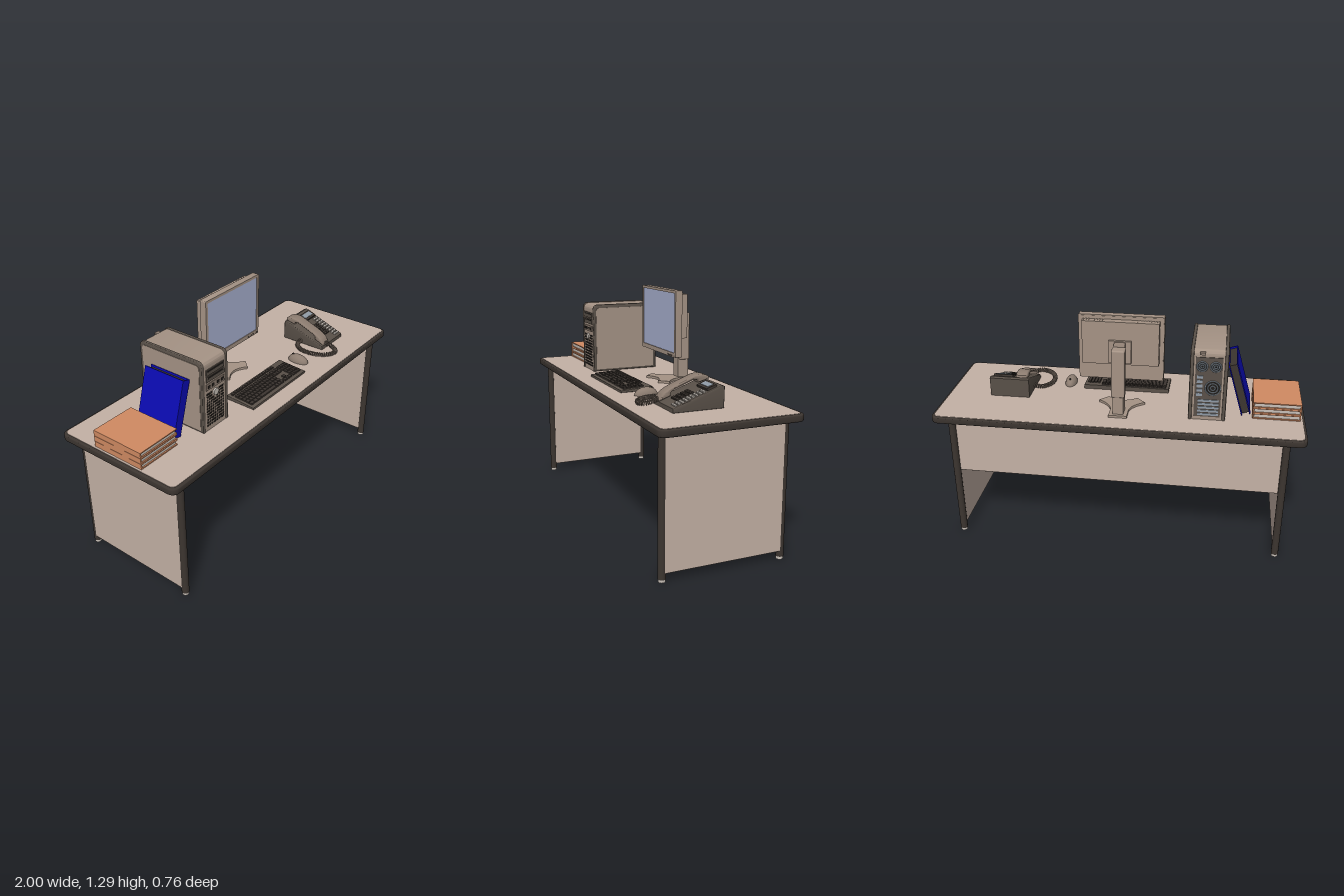
import * as THREE from 'three';
import { mergeGeometries, toCreasedNormals } from 'three/addons/utils/BufferGeometryUtils.js';
import { RoundedBoxGeometry } from 'three/addons/geometries/RoundedBoxGeometry.js';

const mat = (color) => new THREE.MeshStandardMaterial({ color });
const M = {
  tan: mat(0xc4b1a5), taupe: mat(0xa59385), mid: mat(0x8c7c70), dark: mat(0x3c3530), char: mat(0x5a5149),
  black: mat(0x25211e), orange: mat(0xd08a62), blue: mat(0x0a0ab0), screen: mat(0xaab2d2), steel: mat(0x8f9aa5), page: mat(0xc8c0b8)
};
const TOP = 0.764; // desk surface height

function add(parent, name, geo, material, x = 0, y = 0, z = 0) {
  const mesh = new THREE.Mesh(geo, material);
  mesh.name = name;
  mesh.position.set(x, y, z);
  parent.add(mesh);
  return mesh;
}
function group(parent, name, x = 0, y = 0, z = 0) {
  const g = new THREE.Group();
  g.name = name;
  g.position.set(x, y, z);
  parent.add(g);
  return g;
}
// box given by its min and max on each axis
const span = (x0, x1, y0, y1, z0, z1) =>
  new THREE.BoxGeometry(x1 - x0, y1 - y0, z1 - z0).translate((x0 + x1) / 2, (y0 + y1) / 2, (z0 + z1) / 2);
const merged = (list) => mergeGeometries(list);

function roundRect(w, h, r, x = 0, y = 0) {
  const s = new THREE.Shape(), a = x - w / 2, b = x + w / 2, c = y - h / 2, d = y + h / 2;
  s.absarc(b - r, c + r, r, -Math.PI / 2, 0);
  s.absarc(b - r, d - r, r, 0, Math.PI / 2);
  s.absarc(a + r, d - r, r, Math.PI / 2, Math.PI);
  s.absarc(a + r, c + r, r, Math.PI, Math.PI * 1.5);
  s.closePath();
  return s;
}
function extrude(shape, depth, bevel = 0) {
  const g = new THREE.ExtrudeGeometry(shape, {
    depth: depth - 2 * bevel, bevelEnabled: bevel > 0, bevelSize: bevel, bevelThickness: bevel,
    bevelOffset: -bevel, bevelSegments: 3, curveSegments: 10
  });
  return toCreasedNormals(g.translate(0, 0, bevel), 0.6);
}
// plan outline (y of the shape = -z) raised upward
const slab = (shape, height, bevel) => extrude(shape, height, bevel).rotateX(-Math.PI / 2);
// side outline (x of the shape = -z) widened along +x
const side = (shape, width, bevel) => extrude(shape, width, bevel).rotateY(Math.PI / 2);
const outline = (pts) => new THREE.Shape(pts.map(([a, b]) => new THREE.Vector2(a, b)));

function buildDesk(root) {
  const desk = group(root, 'desk');
  add(desk, 'deskTopEdge', slab(roundRect(2, 0.757, 0.04), 0.037, 0.007), M.dark, 0, 0.725);
  add(desk, 'deskTopSurface', slab(roundRect(1.97, 0.727, 0.028), 0.004), M.tan, 0, 0.76);
  for (const sx of [-1, 1]) {
    add(desk, 'endPanel', new RoundedBoxGeometry(0.034, 0.682, 0.645, 2, 0.006), M.tan, sx * 0.901, 0.384);
    for (const sz of [-1, 1]) {
      add(desk, 'leg', new THREE.CylinderGeometry(0.02, 0.02, 0.71, 20), M.dark, sx * 0.9, 0.37, sz * 0.323);
      add(desk, 'foot', new THREE.CylinderGeometry(0.018, 0.018, 0.016, 20), M.page, sx * 0.9, 0.008, sz * 0.323);
    }
  }
  add(desk, 'modestyPanel', new RoundedBoxGeometry(1.775, 0.322, 0.026, 2, 0.008), M.tan, 0, 0.566, -0.31);
}

function buildTower(root) {
  const t = group(root, 'computerTower', -0.476, TOP, -0.003);
  const profile = (d, h, r) => {
    const s = new THREE.Shape();
    s.moveTo(-d / 2, 0).lineTo(d / 2, 0).lineTo(d / 2, h - r);
    s.absarc(d / 2 - r, h - r, r, 0, Math.PI / 2);
    s.absarc(-d / 2 + r, h - r, r, Math.PI / 2, Math.PI);
    return s;
  };
  add(t, 'caseBody', side(profile(0.4, 0.398, 0.028), 0.16), M.taupe, -0.08);
  for (const s of [-1, 1]) {
    add(t, 'caseRim', side(profile(0.406, 0.402, 0.03), 0.018, 0.005), M.char, s * 0.089 - 0.009);
    add(t, 'sidePanel', side(profile(0.37, 0.37, 0.018), 0.004), M.taupe, s * 0.098 - 0.002, 0.012);
  }
  // drive bays, buttons and vents on the front
  add(t, 'driveBays', merged([0.335, 0.298].map((y) => span(-0.068, 0.068, y - 0.016, y + 0.016, 0.19, 0.205))), M.char);
  add(t, 'driveSlots', merged([0.342, 0.305].map((y) => span(-0.058, 0.058, y - 0.004, y + 0.004, 0.2, 0.207))), M.black);
  add(t, 'controlStrip', span(-0.068, 0.068, 0.236, 0.271, 0.19, 0.204), M.mid);
  add(t, 'ports', merged([-0.05, -0.02, 0.02, 0.05].map((x) => span(x - 0.008, x + 0.008, 0.246, 0.261, 0.2, 0.207))), M.black);
  add(t, 'powerButton', new THREE.CylinderGeometry(0.018, 0.018, 0.012, 20).rotateX(Math.PI / 2), M.page, 0, 0.205, 0.203);
  const vents = [];
  for (let r = 0; r < 12; r++) for (let c = 0; c < 9; c++) {
    const x = (c - 4) * 0.015, y = 0.03 + r * 0.0165;
    if (Math.hypot(x, y - 0.205) > 0.027) vents.push(span(x - 0.005, x + 0.005, y - 0.005, y + 0.005, 0.195, 0.202));
  }
  add(t, 'frontVents', merged(vents), M.black);
  // rear: supply, fans, connectors and card slots
  add(t, 'rearPlate', span(-0.07, 0.07, 0.02, 0.36, -0.204, -0.19), M.char);
  for (const [x, y, r] of [[-0.035, 0.31, 0.027], [0.035, 0.31, 0.027], [-0.025, 0.19, 0.04]]) {
    add(t, 'fanDisc', new THREE.CylinderGeometry(r, r, 0.004, 24).rotateX(Math.PI / 2), M.black, x, y, -0.205);
    for (const k of [1, 0.65, 0.3]) add(t, 'fanRing', new THREE.TorusGeometry(r * k, 0.0035, 6, 24), M.steel, x, y, -0.207);
  }
  add(t, 'connectors', merged([0.15, 0.175, 0.2, 0.225, 0.25].map((y) => span(0.03, 0.06, y - 0.008, y + 0.008, -0.209, -0.2))), M.steel);
  add(t, 'cardSlots', merged([0.035, 0.055, 0.075, 0.095, 0.115].map((y) => span(-0.06, 0.05, y - 0.006, y + 0.006, -0.208, -0.2))), M.steel);
  add(t, 'latch', span(0.02, 0.05, 0.375, 0.388, -0.212, -0.19), M.mid);
}

function buildMonitor(root) {
  const m = group(root, 'monitor', -0.003, 0, 0);
  const frame = roundRect(0.46, 0.361, 0.006);
  frame.holes.push(roundRect(0.428, 0.322, 0.003, 0, 0.005));
  add(m, 'screenFrame', extrude(frame, 0.039), M.taupe, 0, 1.106, -0.095);
  add(m, 'screen', span(-0.22, 0.22, 0.94, 1.28, -0.085, -0.06), M.screen);
  add(m, 'backCover', span(-0.226, 0.226, 0.93, 1.282, -0.097, -0.084), M.taupe);
  add(m, 'screenButtons', merged([0.14, 0.16, 0.18, 0.215].map((x) => span(x - 0.006, x + 0.006, 0.93, 0.938, -0.06, -0.054))), M.char);
  // vented rear housing
  add(m, 'housingCore', span(-0.195, 0.195, 1.035, 1.255, -0.132, -0.095), M.char);
  add(m, 'housingBack', span(-0.205, 0.205, 1.027, 1.265, -0.138, -0.129), M.taupe);
  add(m, 'housingMiddle', span(-0.09, 0.09, 1.027, 1.265, -0.136, -0.095), M.taupe);
  const fins = [];
  for (let i = 0; i < 16; i++) {
    const y = 1.034 + i * 0.015;
    fins.push(span(-0.204, 0.204, y - 0.004, y + 0.004, -0.132, -0.095));
  }
  for (let i = 0; i < 8; i++) for (const s of [-1, 1]) {
    const x = s * (0.1 + i * 0.0145);
    fins.push(span(x - 0.004, x + 0.004, 1.027, 1.265, -0.132, -0.095));
  }
  add(m, 'ventFins', merged(fins), M.taupe);
  // mount, telescoping column and splayed base
  add(m, 'mountPlate', span(-0.06, 0.06, 1.04, 1.165, -0.153, -0.137), M.taupe);
  add(m, 'hinge', new THREE.CylinderGeometry(0.055, 0.055, 0.06, 24).rotateZ(Math.PI / 2).scale(1, 1, 0.6), M.mid, 0, 1.105, -0.15);
  add(m, 'upperColumn', new RoundedBoxGeometry(0.072, 0.268, 0.062, 2, 0.008), M.taupe, 0, 1.01, -0.206);
  add(m, 'lowerColumn', span(-0.029, 0.029, 0.77, 0.9, -0.232, -0.168), M.taupe);
  const b = new THREE.Shape();
  b.moveTo(-0.05, 0.25).lineTo(-0.05, 0.17).quadraticCurveTo(-0.06, 0.11, -0.128, 0.07).lineTo(-0.08, 0.02);
  b.quadraticCurveTo(0, 0.09, 0.08, 0.02).lineTo(0.128, 0.07).quadraticCurveTo(0.06, 0.11, 0.05, 0.17).lineTo(0.05, 0.25);
  add(m, 'standBase', slab(b, 0.014), M.taupe, 0, TOP - 0.001);
}

function buildKeyboard(root) {
  const k = group(root, 'keyboard', -0.004, TOP, 0.178);
  const body = outline([[-0.088, 0], [0.088, 0], [0.088, 0.024], [-0.088, 0.012]]);
  add(k, 'keyboardBody', side(body, 0.49, 0.003), M.char, -0.245);
  const keys = [];
  const row = (x0, x1, n, z, d = 0.02) => {
    const w = (x1 - x0) / n, y = 0.018 - z * 0.068;
    for (let i = 0; i < n; i++) keys.push(span(x0 + i * w + 0.0015, x0 + (i + 1) * w - 0.0015, y - 0.004, y + 0.008, z - d / 2, z + d / 2));
  };
  row(-0.23, 0.07, 13, -0.068, 0.014);
  row(0.08, 0.145, 3, -0.068, 0.014);
  for (let r = 0; r < 5; r++) {
    const z = -0.038 + r * 0.0235;
    if (r < 4) row(-0.23, 0.07, 15 - r, z);
    row(0.157, 0.23, 4, z);
    if (r < 2 || r === 4) row(0.08, 0.145, 3, z);
  }
  row(-0.23, -0.14, 3, 0.056);
  row(-0.14, 0, 1, 0.056);
  row(0, 0.07, 3, 0.056);
  row(0.1017, 0.1233, 1, 0.0325);
  add(k, 'keys', merged(keys), M.dark);
}

function buildMouse(root) {
  const m = group(root, 'mouse', 0.33, TOP, 0.16);
  const dome = new THREE.SphereGeometry(1, 24, 10, 0, Math.PI * 2, 0, Math.PI / 2).scale(0.034, 0.042, 0.065);
  add(m, 'mouseBody', dome, M.mid);
  add(m, 'scrollWheel', new THREE.CylinderGeometry(0.008, 0.008, 0.007, 14).rotateZ(Math.PI / 2), M.dark, 0, 0.034, -0.034);
}

function buildPhone(root) {
  const p = group(root, 'telephone');
  const body = outline([[-0.2, 0.763], [0.073, 0.763], [0.075, 0.872], [0.06, 0.878], [-0.2, 0.785]]);
  add(p, 'phoneBase', side(body, 0.225, 0.004), M.char, 0.525);
  // controls lie on the sloped top
  const top = group(p, 'phoneControls', 0.525, 0.785, 0.2);
  top.rotation.x = Math.atan2(0.093, 0.26);
  add(top, 'display', span(0.1, 0.21, -0.01, 0.012, -0.255, -0.2), M.dark);
  add(top, 'displayGlass', span(0.115, 0.195, 0, 0.014, -0.245, -0.215), M.steel);
  const pad = [], memory = [];
  for (let r = 0; r < 4; r++) for (let c = 0; c < 3; c++) pad.push(span(0.092 + c * 0.024, 0.11 + c * 0.024, 0, 0.009, -0.15 + r * 0.026, -0.133 + r * 0.026));
  for (let r = 0; r < 9; r++) for (let c = 0; c < 2; c++) memory.push(span(0.17 + c * 0.023, 0.188 + c * 0.023, 0, 0.007, -0.19 + r * 0.02, -0.178 + r * 0.02));
  add(top, 'keypad', merged(pad), M.dark);
  add(top, 'memoryKeys', merged(memory), M.page);
  // handset arches between two cups
  const h = new THREE.Shape();
  h.moveTo(-0.2, 0.79).lineTo(-0.185, 0.822).quadraticCurveTo(-0.16, 0.845, -0.1, 0.868).lineTo(-0.01, 0.902);
  h.quadraticCurveTo(0.035, 0.914, 0.066, 0.895).lineTo(0.07, 0.882).lineTo(0.01, 0.866);
  h.quadraticCurveTo(0.01, 0.885, -0.02, 0.88).lineTo(-0.12, 0.842).quadraticCurveTo(-0.145, 0.83, -0.14, 0.812);
  add(p, 'handset', side(h, 0.066, 0.008), M.mid, 0.533);
  // coiled cord
  const path = new THREE.CatmullRomCurve3([[0.535, 0.785, 0.05], [0.48, 0.778, 0.055], [0.437, 0.777, 0.11], [0.437, 0.777, 0.2],
    [0.475, 0.777, 0.262], [0.535, 0.777, 0.285], [0.568, 0.782, 0.25], [0.565, 0.798, 0.192]].map((a) => new THREE.Vector3(...a)));
  const turns = 42, pts = [], up = new THREE.Vector3(0, 1, 0);
  for (let i = 0; i <= turns * 8; i++) {
    const u = i / (turns * 8), a = u * turns * Math.PI * 2;
    const across = path.getTangentAt(u).cross(up).normalize();
    pts.push(path.getPointAt(u).addScaledVector(across, 0.0105 * Math.cos(a)).addScaledVector(up, 0.0105 * Math.sin(a)));
  }
  add(p, 'coiledCord', new THREE.TubeGeometry(new THREE.CatmullRomCurve3(pts), turns * 10, 0.0035, 5), M.mid);
}

function buildBooks(root) {
  for (let i = 0; i < 3; i++) {
    const b = group(root, 'book', -0.847, TOP + i * 0.032, 0);
    const cover = [span(-0.127, 0.127, 0, 0.006, -0.155, 0.155), span(-0.127, 0.127, 0.025, 0.031, -0.155, 0.155), span(-0.127, -0.12, 0.006, 0.025, -0.155, 0.155)];
    add(b, 'bookCover', merged(cover), M.orange);
    add(b, 'bookPages', span(-0.12, 0.12, 0.006, 0.025, -0.148, 0.148), M.page);
  }
  // ring binder leaning on the tower
  const r = group(root, 'leaningBinder', -0.709, TOP + 0.014, -0.003);
  r.rotation.z = -0.29;
  const covers = [span(0, 0.006, 0, 0.302, -0.125, 0.125), span(0.044, 0.05, 0, 0.302, -0.125, 0.125), span(0.006, 0.044, 0, 0.302, 0.119, 0.125)];
  add(r, 'binderCover', merged(covers), M.blue);
  add(r, 'binderPages', span(0.006, 0.044, 0.006, 0.292, -0.113, 0.119), M.dark);
}

export function createModel() {
  const root = new THREE.Group();
  root.name = 'officeDesk';
  for (const build of [buildDesk, buildTower, buildMonitor, buildKeyboard, buildMouse, buildPhone, buildBooks]) build(root);
  return root;
}
